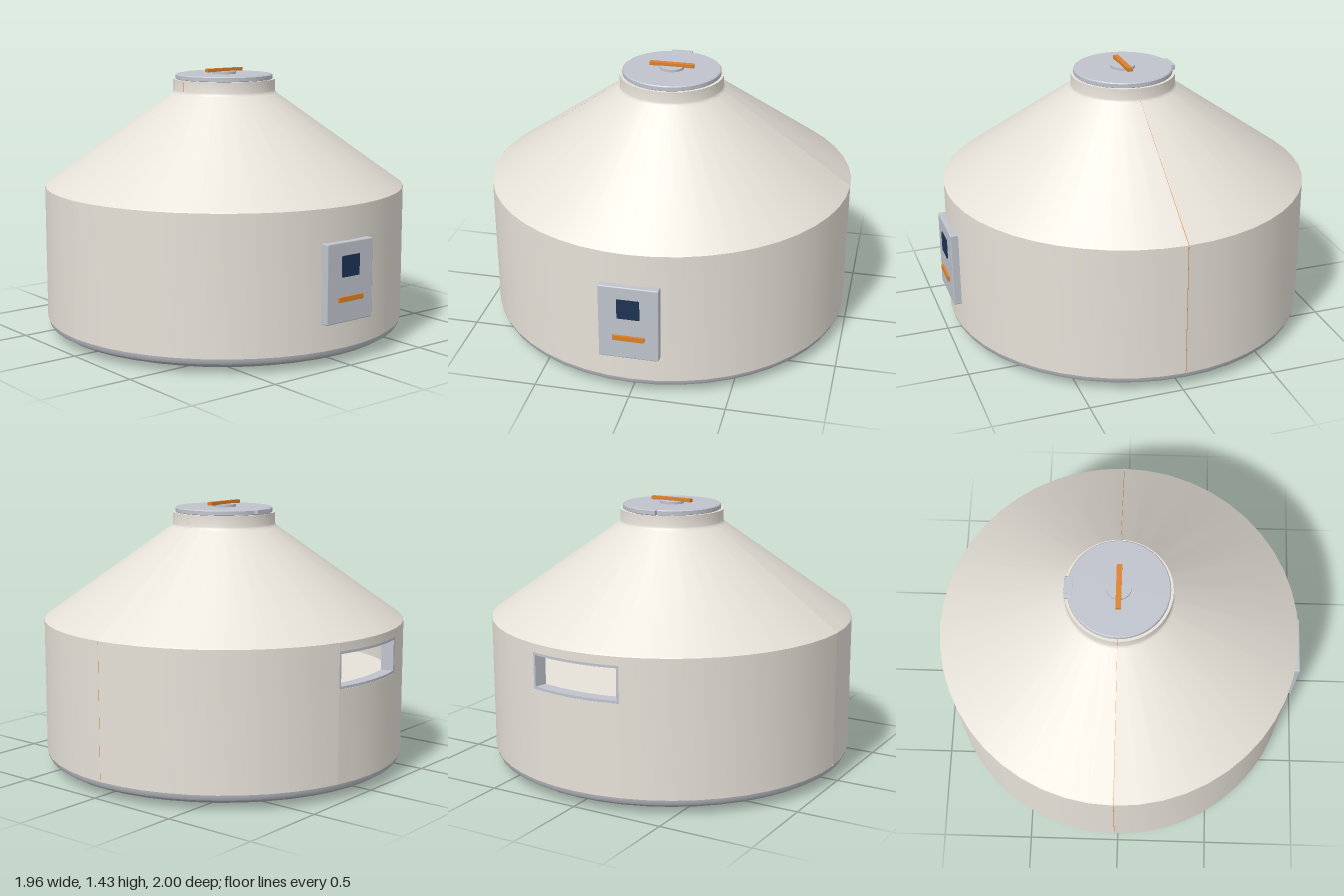
import * as THREE from 'three';
import { toCreasedNormals } from 'three/addons/utils/BufferGeometryUtils.js';
import { RoundedBoxGeometry } from 'three/addons/geometries/RoundedBoxGeometry.js';

const mat = (name, color, side = THREE.FrontSide) => {
  const m = new THREE.MeshStandardMaterial({ color, side });
  m.name = name;
  return m;
};

export function createModel() {
  const shellMat = mat('warm white shell', 0xe6e1d8, THREE.DoubleSide);
  const steelMat = mat('pale steel', 0xbfc3cc);
  const baseMat = mat('grey base', 0xb4b7bd);
  const orangeMat = mat('orange', 0xdb812c);
  const navyMat = mat('navy glass', 0x1d3354);

  const model = new THREE.Group();
  model.name = 'domedBin';
  const body = new THREE.Group();
  body.name = 'body';
  body.position.z = -0.02;
  model.add(body);

  const add = (parent, name, geo, material, x = 0, y = 0, z = 0) => {
    const mesh = new THREE.Mesh(geo, material);
    mesh.name = name;
    mesh.position.set(x, y, z);
    parent.add(mesh);
    return mesh;
  };
  // Surface of revolution over part of a turn; the front is angle 0
  const revolve = (pts, start = 0, length = Math.PI * 2) => {
    const segments = Math.max(2, Math.round(length / (Math.PI / 24)));
    const profile = pts.map(([r, y]) => new THREE.Vector2(r, y));
    return toCreasedNormals(new THREE.LatheGeometry(profile, segments, start, length), 0.55);
  };
  const ring = (r0, r1, y0, y1) => [[r0, y0], [r1, y0], [r1, y1], [r0, y1], [r0, y0]];

  const R = 0.98, IN = 0.94, GAP = 0.0015, HALF = Math.PI / 2, WIN = Math.PI / 12;
  const sill = 0.57, head = 0.762, wallBottom = 0.084, wallTop = 0.8;

  // Rounded base tray
  add(body, 'base', revolve([[0, 0], [0.8, 0], [0.87, 0.012], [0.935, 0.034], [0.968, 0.054],
    [0.976, 0.07], [0.976, 0.086], [0, 0.086]]), baseMat);

  // Two shell halves, parted by a narrow seam at the sides
  const roof = [[R, wallTop], [R, 0.807], [0.974, 0.813], [0.288, 1.302], [0.281, 1.309], [0.278, 1.32],
    [0.278, 1.378], [0.24, 1.378], [0.24, 1.3], [IN, 0.8], [R, wallTop]];
  for (const [name, centre] of [['frontRoof', 0], ['backRoof', Math.PI]]) {
    add(body, name, revolve(roof, centre - HALF + GAP, Math.PI - 2 * GAP), shellMat);
  }
  add(body, 'frontWall', revolve(ring(IN, R, wallBottom, wallTop), -HALF + GAP, Math.PI - 2 * GAP), shellMat);

  // Back wall pieces around the opening
  const sideLength = HALF - WIN - GAP;
  add(body, 'backWallLeft', revolve(ring(IN, R, wallBottom, wallTop), HALF + GAP, sideLength), shellMat);
  add(body, 'backWallRight', revolve(ring(IN, R, wallBottom, wallTop), Math.PI + WIN, sideLength), shellMat);
  add(body, 'backWallBelow', revolve(ring(IN, R, wallBottom, sill), Math.PI - WIN, 2 * WIN), shellMat);
  add(body, 'backWallAbove', revolve(ring(IN, R, head, wallTop), Math.PI - WIN, 2 * WIN), shellMat);

  // Steel lining of the opening
  const frame = new THREE.Group();
  frame.name = 'openingFrame';
  body.add(frame);
  add(frame, 'frameSill', revolve(ring(0.91, 0.978, sill, sill + 0.014), Math.PI - WIN, 2 * WIN), steelMat);
  add(frame, 'frameHead', revolve(ring(0.91, 0.978, head - 0.014, head), Math.PI - WIN, 2 * WIN), steelMat);
  for (const s of [-1, 1]) {
    const a = Math.PI + s * (WIN - 0.007);
    const jamb = add(frame, 'frameJamb', new THREE.BoxGeometry(0.014, head - sill, 0.066), steelMat,
      Math.sin(a) * 0.944, (sill + head) / 2, Math.cos(a) * 0.944);
    jamb.rotation.y = a;
  }

  // Inner deck and mat seen through the opening
  add(body, 'innerDeck', revolve([[IN, 0.5], [0, 0.5]]), shellMat);
  add(body, 'innerMat', new THREE.BoxGeometry(0.18, 0.008, 0.06), navyMat, 0.04, 0.504, -0.75);

  // Gasket sheet set into the seam
  const outline = (pts) => [...pts, ...pts.slice().reverse().map(([x, y]) => [-x, y])]
    .map(([x, y]) => new THREE.Vector2(x, y));
  const sheet = new THREE.Shape(outline([[0.97, 0.09], [0.97, 0.803], [0.268, 1.302], [0.272, 1.32], [0.272, 1.37]]));
  sheet.holes.push(new THREE.Path(outline([[0.95, 0.1], [0.95, 0.8], [0.25, 1.3], [0.25, 1.36]])));
  add(body, 'seamGasket', new THREE.ExtrudeGeometry(sheet, { depth: 0.02, bevelEnabled: false }), orangeMat, 0, 0, -0.01);

  // Lid with hinge, hub and turning handle
  const lid = new THREE.Group();
  lid.name = 'lid';
  body.add(lid);
  add(lid, 'lidDisc', revolve([[0, 1.376], [0.26, 1.376], [0.264, 1.38], [0.264, 1.4], [0.259, 1.405], [0, 1.405]]), steelMat);
  add(lid, 'lidHinge', new RoundedBoxGeometry(0.116, 0.028, 0.045, 2, 0.005), steelMat, 0, 1.392, -0.255);
  add(lid, 'handleHub', new THREE.CylinderGeometry(0.065, 0.065, 0.016, 40), steelMat, 0, 1.411, 0);
  add(lid, 'lidHandle', new THREE.BoxGeometry(0.24, 0.018, 0.028), orangeMat, 0, 1.426, 0);

  // Front hatch with small pane and pull
  const hatch = new THREE.Group();
  hatch.name = 'frontHatch';
  model.add(hatch);
  add(hatch, 'hatchPanel', new RoundedBoxGeometry(0.31, 0.41, 0.05, 2, 0.006), steelMat, 0, 0.43, 0.963);
  add(hatch, 'hatchPane', new THREE.BoxGeometry(0.116, 0.108, 0.008), navyMat, 0, 0.512, 0.99);
  add(hatch, 'hatchPull', new THREE.BoxGeometry(0.164, 0.026, 0.016), orangeMat, 0, 0.346, 0.992);

  return model;
}
